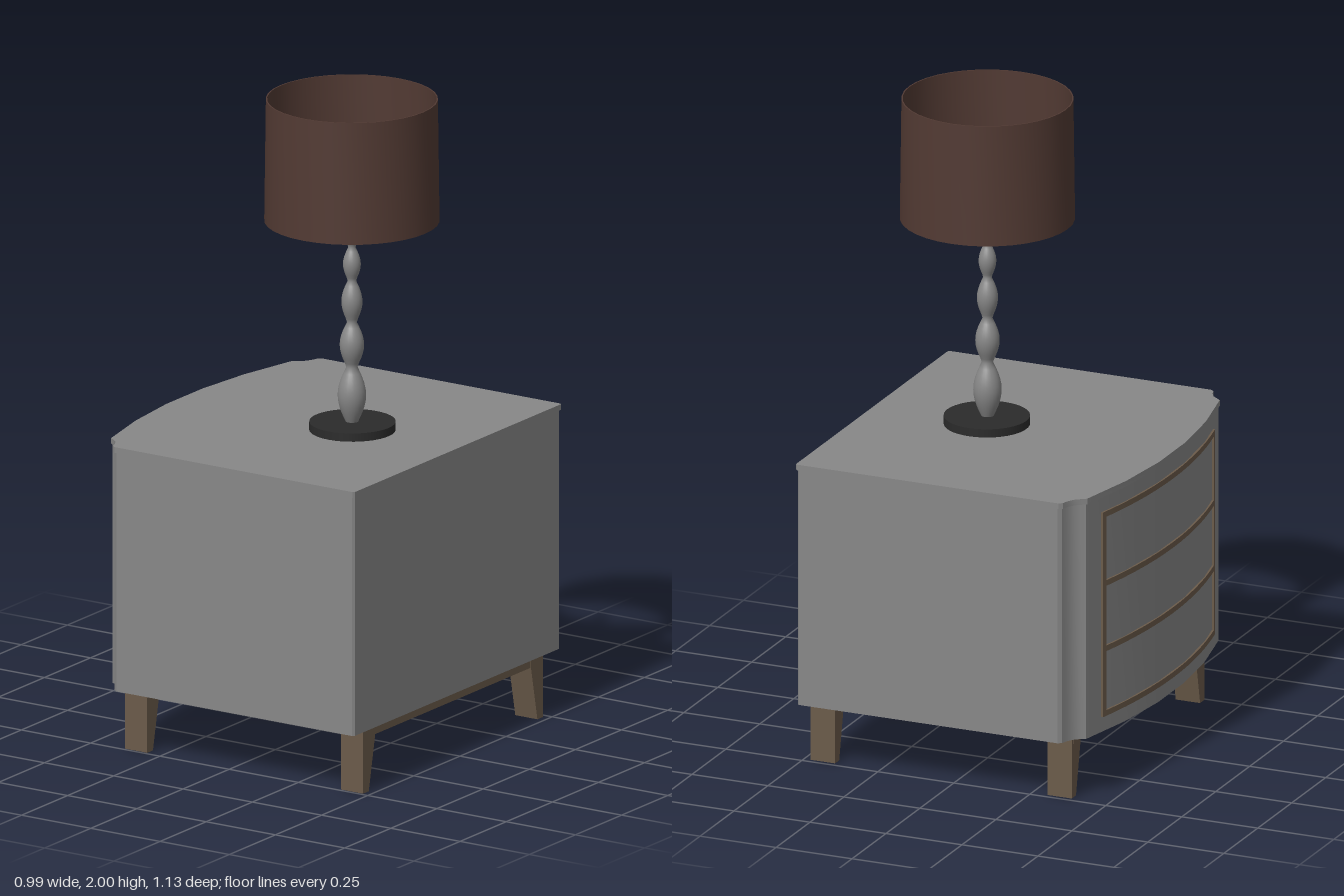
import * as THREE from 'three';
import { toCreasedNormals } from 'three/addons/utils/BufferGeometryUtils.js';

const mat = (color, side = THREE.FrontSide) => new THREE.MeshStandardMaterial({ color, side });
const grey = mat(0x878787);
const wood = mat(0x6b5b4a);
const black = mat(0x2b2b2b);
const fabric = mat(0x523a33, THREE.DoubleSide);

// bowed drawer side, which faces -x
const bowX = (z) => -0.498 + 0.27 * z * z;

function add(parent, name, geometry, material, x = 0, y = 0, z = 0) {
  const mesh = new THREE.Mesh(geometry, material);
  mesh.name = name;
  mesh.position.set(x, y, z);
  parent.add(mesh);
  return mesh;
}

// extrude an (x, z) outline upward from y = 0
function slab(points, height) {
  const shape = new THREE.Shape(points.map(([x, z]) => new THREE.Vector2(x, -z)));
  const geo = new THREE.ExtrudeGeometry(shape, { depth: height, bevelEnabled: false });
  geo.rotateX(-Math.PI / 2);
  return toCreasedNormals(geo, 0.5);
}

// cabinet plan: square at +x, scooped corners and a bow at -x
function cabinetPlan(inset) {
  const w = 0.563 - inset;
  const back = 0.493 - inset;
  const corner = [[-0.372, w], [-0.383, w - 0.008], [-0.39, w - 0.03], [-0.402, w - 0.05], [-0.418, w - 0.063]];
  const pts = [[back - 0.006, w], [back, w - 0.006], [back, 0.006 - w], [back - 0.006, -w]];
  corner.forEach(([x, z]) => pts.push([x + inset, -z]));
  for (let i = 0; i <= 5; i++) {
    const z = -0.488 + (0.976 * i) / 5;
    pts.push([bowX(z) + inset, z]);
  }
  corner.reverse().forEach(([x, z]) => pts.push([x + inset, z]));
  return pts;
}

// thin strip that follows the bow between z0 and z1
function bowStrip(z0, z1, height, steps) {
  const outer = [], inner = [];
  for (let i = 0; i <= steps; i++) {
    const z = z0 + ((z1 - z0) * i) / steps;
    outer.push([bowX(z), z]);
    inner.unshift([bowX(z) + 0.02, z]);
  }
  return slab([...outer, ...inner], height);
}

function createCabinet() {
  const cabinet = new THREE.Group();
  cabinet.name = 'cabinet';
  add(cabinet, 'cabinetBody', slab(cabinetPlan(0.004), 0.75), grey, 0, 0.198, 0);
  add(cabinet, 'cabinetTop', slab(cabinetPlan(0), 0.018), grey, 0, 0.946, 0);

  // drawer frame: four rails and two stiles
  for (const y of [0.246, 0.452, 0.66, 0.88]) {
    add(cabinet, 'drawerRail', bowStrip(-0.412, 0.412, 0.018, 14), wood, 0, y, 0);
  }
  for (const s of [-1, 1]) {
    add(cabinet, 'drawerStile', bowStrip(s * 0.404 - 0.008, s * 0.404 + 0.008, 0.652, 1), wood, 0, 0.246, 0);
  }

  // base panel and tapered legs
  add(cabinet, 'basePanel', new THREE.BoxGeometry(0.86, 0.03, 0.95), wood, 0.047, 0.185, 0.004);
  const profile = new THREE.Shape(
    [[0.422, 0.2], [0.422, 0.17], [0.457, 0], [0.488, 0], [0.488, 0.2]].map(([z, y]) => new THREE.Vector2(z, y))
  );
  for (const x of [-0.341, 0.438]) {
    for (const s of [-1, 1]) {
      const geo = new THREE.ExtrudeGeometry(profile, { depth: 0.08, bevelEnabled: false });
      geo.translate(0, 0, -0.04);
      const leg = add(cabinet, 'leg', geo, wood, x, 0, 0.004);
      leg.rotation.y = (-s * Math.PI) / 2;
    }
  }
  return cabinet;
}

function createLamp() {
  const lamp = new THREE.Group();
  lamp.name = 'lamp';
  lamp.position.set(0.118, 0, 0.012);
  add(lamp, 'lampBase', new THREE.CylinderGeometry(0.13, 0.13, 0.026, 40), black, 0.002, 0.977, 0);

  // stem of five stacked beads, shrinking upward
  const beads = [[0.985, 1.16, 0.043], [1.16, 1.3, 0.037], [1.3, 1.43, 0.032], [1.43, 1.535, 0.027], [1.535, 1.625, 0.023]];
  const stem = [];
  beads.forEach(([y0, y1, r], b) => {
    const neck = 0.017 - b * 0.002;
    for (let i = b ? 1 : 0; i <= 10; i++) {
      const t = i / 10;
      stem.push(new THREE.Vector2(neck + (r - neck) * Math.sin(Math.PI * t), y0 + (y1 - y0) * t));
    }
  });
  stem.push(new THREE.Vector2(0, 1.625));
  add(lamp, 'lampStem', new THREE.LatheGeometry(stem, 24), grey);
  add(lamp, 'lampRod', new THREE.CylinderGeometry(0.006, 0.006, 0.12, 12), black, 0, 1.68, 0);
  add(lamp, 'bulbSocket', new THREE.CylinderGeometry(0.018, 0.016, 0.05, 16), black, 0, 1.76, 0);

  // open drum shade with a thin wall
  const wall = [[0.26, 1.62], [0.264, 1.62], [0.259, 2], [0.255, 2], [0.26, 1.62]];
  const shade = new THREE.LatheGeometry(wall.map(([r, y]) => new THREE.Vector2(r, y)), 36);
  add(lamp, 'lampShade', toCreasedNormals(shade, 0.5), fabric);
  return lamp;
}

export function createModel() {
  const model = new THREE.Group();
  model.name = 'nightstandWithLamp';
  model.add(createCabinet(), createLamp());
  return model;
}
